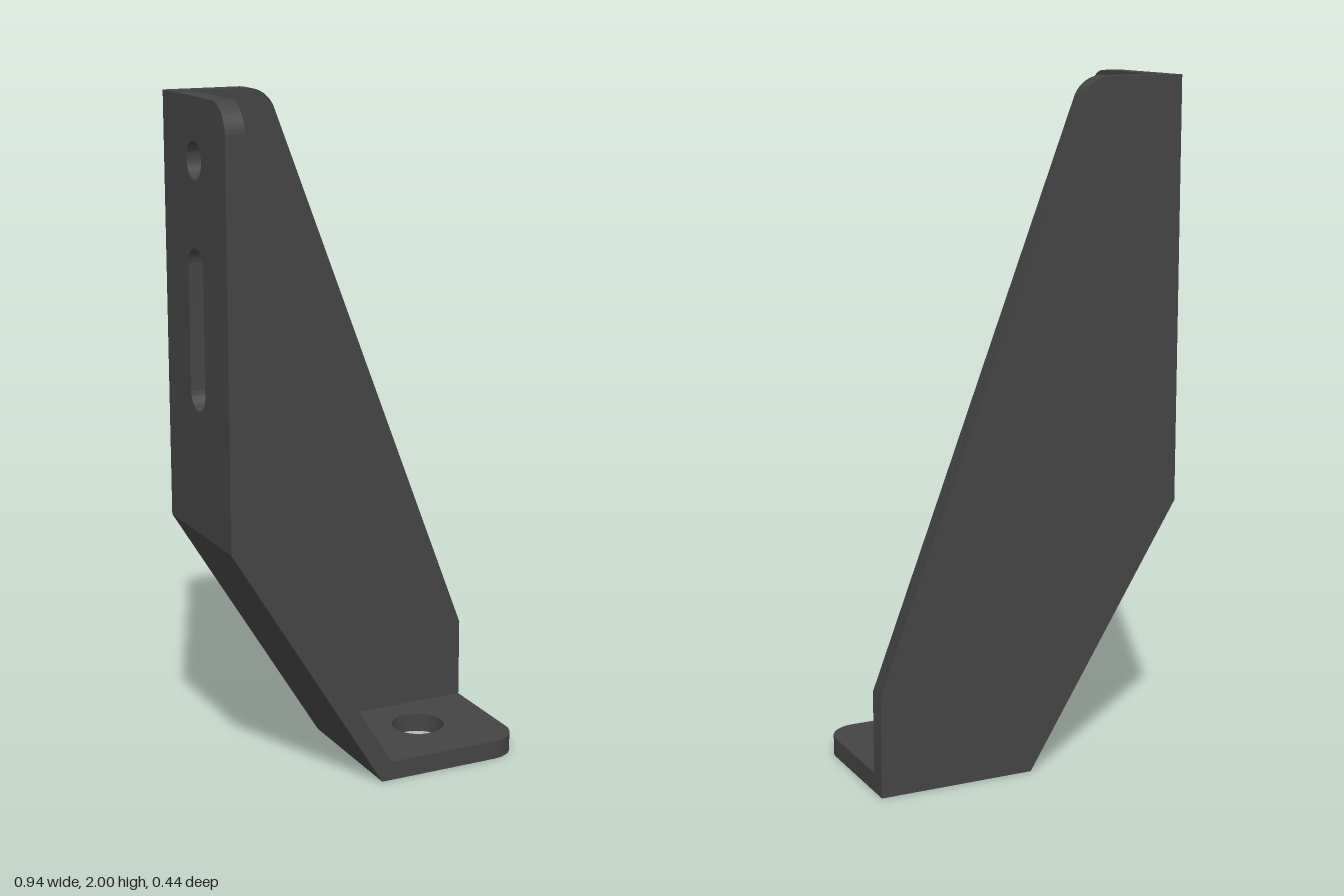
import * as THREE from 'three';
import { toCreasedNormals } from 'three/addons/utils/BufferGeometryUtils.js';

const T = 0.057;                 // sheet thickness
const X = 0.47, Z = 0.222;       // half width and half depth
const INNER_Z = -Z + T;          // front face of the web
const R = 0.09;                  // corner rounding
const BEND = [-X, 0.765];        // outer bend between wall plate and brace
const BEND_IN = [-X + T, 0.781];
const FOOT_IN = [0.032, T];      // inner bend between brace and foot

const polygon = (points) => new THREE.Shape(points.map(([x, y]) => new THREE.Vector2(x, y)));

// Slot of half width r between two heights; equal heights give a round hole
function slot(x, y0, y1, r) {
  const p = new THREE.Path();
  p.absarc(x, y1, r, 0, Math.PI, false);
  p.absarc(x, y0, r, Math.PI, Math.PI * 2, false);
  p.closePath();
  return p;
}

const extrude = (shape, depth) =>
  new THREE.ExtrudeGeometry(shape, { depth, bevelEnabled: false, curveSegments: 20 });

export function createModel() {
  const group = new THREE.Group();
  const steel = new THREE.MeshStandardMaterial({ color: 0x444444 });
  steel.name = 'dark steel';

  const add = (name, geometry) => {
    const mesh = new THREE.Mesh(toCreasedNormals(geometry, 0.5), steel);
    mesh.name = name;
    group.add(mesh);
  };

  // Tapered web across the back
  const web = new THREE.Shape();
  web.moveTo(0, 0);
  web.lineTo(X, 0);
  web.lineTo(X, 0.3);
  web.absarc(-0.24, 2 - R, R, 0.365, Math.PI / 2, false);
  web.lineTo(-X, 2);
  web.lineTo(...BEND);
  web.closePath();
  add('web', extrude(web, T).translate(0, 0, -Z));

  // Wall plate with round hole and slot, drawn in z and y
  const wall = new THREE.Shape();
  wall.moveTo(INNER_Z, BEND[1]);
  wall.lineTo(Z, BEND[1]);
  wall.absarc(Z - R, 2 - R, R, 0, Math.PI / 2, false);
  wall.lineTo(INNER_Z, 2);
  wall.closePath();
  wall.holes.push(slot(0, 1.827, 1.827, 0.053), slot(0, 1.178, 1.532, 0.053));
  const wallGeo = extrude(wall, T).rotateY(-Math.PI / 2).translate(-X + T, 0, 0);
  // Mitre the lower edge to meet the brace
  const wp = wallGeo.attributes.position;
  for (let i = 0; i < wp.count; i++) {
    if (wp.getY(i) < 0.8 && wp.getX(i) > -X + T / 2) wp.setY(i, BEND_IN[1]);
  }
  add('wallPlate', wallGeo);

  // Sloping brace
  const brace = polygon([[0, 0], FOOT_IN, BEND_IN, BEND]);
  add('brace', extrude(brace, Z - INNER_Z).translate(0, 0, INNER_Z));

  // Foot with bolt hole, drawn in x and z
  const foot = new THREE.Shape();
  foot.moveTo(0, INNER_Z);
  foot.lineTo(X, INNER_Z);
  foot.absarc(X - R, Z - R, R, 0, Math.PI / 2, false);
  foot.lineTo(0, Z);
  foot.closePath();
  foot.holes.push(slot(0.235, 0, 0, 0.08));
  const footGeo = extrude(foot, T).rotateX(Math.PI / 2).translate(0, T, 0);
  // Mitre the inner edge to meet the brace
  const fp = footGeo.attributes.position;
  for (let i = 0; i < fp.count; i++) {
    if (fp.getX(i) < 0.01 && fp.getY(i) > T / 2) fp.setX(i, FOOT_IN[0]);
  }
  add('foot', footGeo);

  return group;
}
